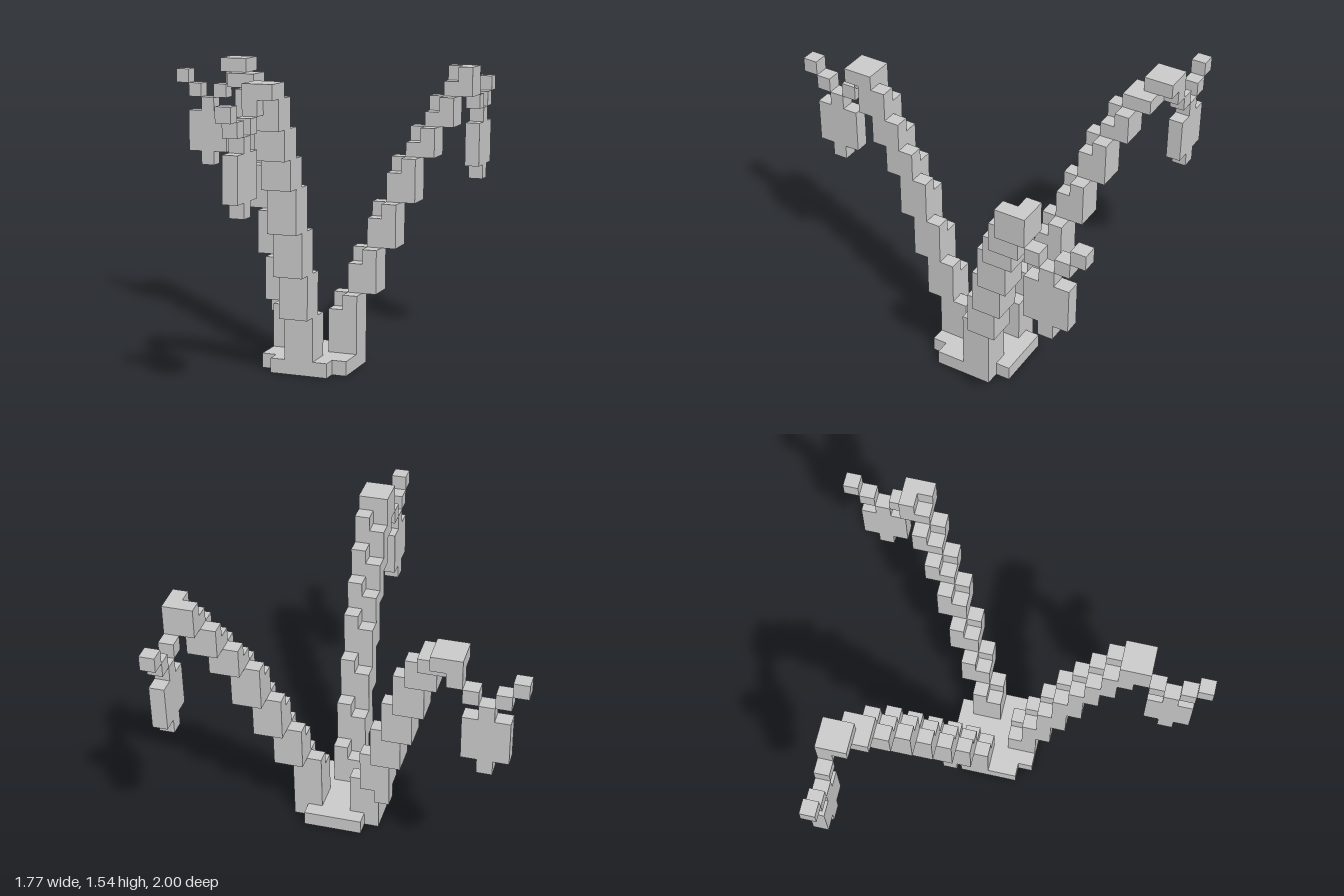
import * as THREE from 'three';

const U = 1 / 13; // size of one block
const material = new THREE.MeshStandardMaterial({ color: 0xcccccc, flatShading: true });

// Box between two grid corners [i, j, k]
function block(parent, name, a, b) {
  const size = b.map((v, n) => (v - a[n]) * U);
  const mesh = new THREE.Mesh(new THREE.BoxGeometry(...size), material);
  mesh.name = name;
  mesh.position.set(
    ((a[0] + b[0]) / 2 - 11.5) * U,
    ((a[1] + b[1]) / 2) * U,
    ((a[2] + b[2]) / 2 - 13) * U
  );
  parent.add(mesh);
}

// Stem segment, 2 x 2 blocks wide; the column at (ni, nk) stops one block short
function segment(parent, i, k, j0, j1, ni, nk) {
  if (j1 - j0 < 2) return block(parent, 'stemSegment', [i, j0, k], [i + 2, j1, k + 2]);
  block(parent, 'stemSegment', [i, j0, k], [i + 2, j1 - 1, k + 2]);
  const otherK = k + 1 - nk, otherI = i + 1 - ni;
  block(parent, 'stemStep', [i, j1 - 1, otherK], [i + 2, j1, otherK + 1]);
  block(parent, 'stemStep', [otherI, j1 - 1, k + nk], [otherI + 1, j1, k + nk + 1]);
}

// Stem climbing one grid step per segment
function stem(name, start, step, levels, notch) {
  const group = new THREE.Group();
  group.name = name;
  for (let n = 0; n + 1 < levels.length; n++) {
    segment(group, start[0] + step[0] * n, start[1] + step[1] * n,
      levels[n], levels[n + 1], notch[0], notch[1]);
  }
  return group;
}

// Flat hanging flower: [along, y, along end, y end], laid out along +x, -x or z
const FLOWER = [
  ['flowerStalk', 0, 17, 1, 18],
  ['flowerNeck', 1, 16, 2, 17],
  ['flowerBody', 0, 13, 3, 16],
  ['flowerTip', 1, 12, 2, 13],
  ['tendril', 2, 17, 3, 18],
  ['tendrilEnd', 3, 18, 4, 19]
];
function flower(parent, axis, origin, dir, across) {
  for (const [name, s0, y0, s1, y1] of FLOWER) {
    const p = origin + dir * s0, q = origin + dir * s1;
    const lo = Math.min(p, q), hi = Math.max(p, q);
    if (axis === 'x') block(parent, name, [lo, y0, across], [hi, y1, across + 1]);
    else block(parent, name, [across, y0, lo], [across + 1, y1, hi]);
  }
}

export function createModel() {
  const model = new THREE.Group();
  model.name = 'plant';

  // Base slab with cut corners
  const base = new THREE.Group();
  base.name = 'base';
  block(base, 'baseMiddle', [12, 0, 9], [16, 1, 15]);
  block(base, 'baseRight', [11, 0, 10], [12, 1, 14]);
  block(base, 'baseLeft', [16, 0, 10], [17, 1, 14]);

  // Front stem
  const front = stem('frontStem', [13, 13], [0, 1], [1, 4, 7, 10, 13, 15, 17, 19, 20], [0, 0]);
  block(front, 'hook', [13, 18, 21], [14, 19, 22]);
  flower(front, 'z', 22, 1, 13);

  // Back left stem
  const left = stem('leftStem', [15, 10], [1, -1], [1, 5, 8, 11, 14, 16, 18, 20], [0, 1]);
  flower(left, 'z', 4, -1, 22);

  // Back right stem
  const right = stem('rightStem', [11, 10], [-1, -1], [1, 4, 7, 10, 13, 16, 18, 19, 20], [1, 1]);
  block(right, 'stemKnob', [10, 3, 9], [11, 4, 10]);
  block(right, 'hook', [4, 18, 3], [5, 19, 4]);
  flower(right, 'x', 4, -1, 3);

  model.add(base, front, left, right);
  return model;
}
